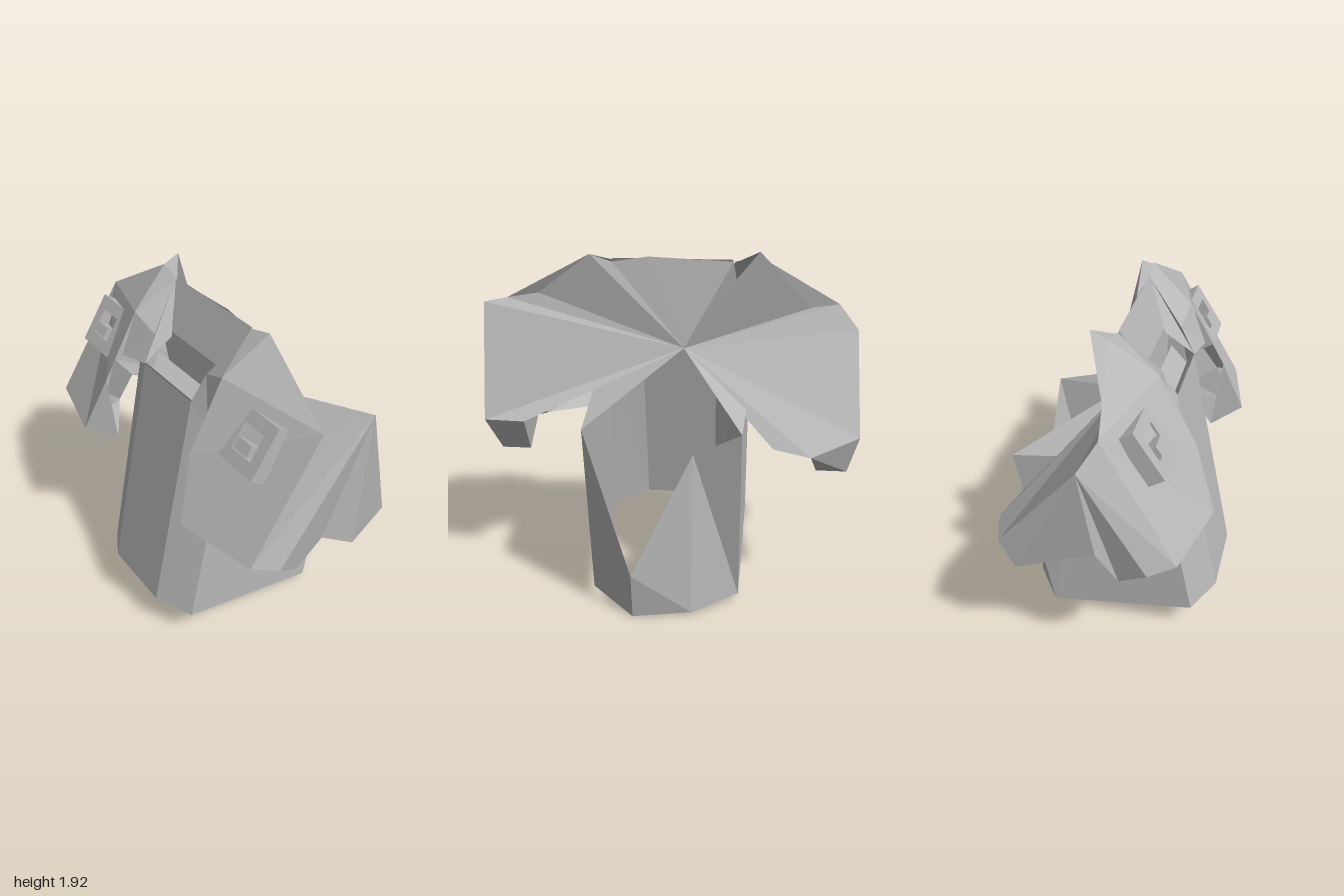
import * as THREE from 'three';

const grey = new THREE.MeshStandardMaterial({ color: 0xb8b8b8, flatShading: true, side: THREE.DoubleSide });
grey.name = 'plain grey';

// Flat-faced mesh from polygons, each triangle turned away from an inner point
function shell(name, polys, inner) {
  const pos = [], c = new THREE.Vector3(...inner);
  for (const poly of polys) {
    const p = poly.map(q => new THREE.Vector3(...q));
    for (let i = 1; i < p.length - 1; i++) {
      const t = [p[0], p[i], p[i + 1]];
      const n = t[1].clone().sub(t[0]).cross(t[2].clone().sub(t[0]));
      const out = t[0].clone().add(t[1]).add(t[2]).divideScalar(3).sub(c);
      if (n.dot(out) < 0) t.reverse();
      t.forEach(v => pos.push(v.x, v.y, v.z));
    }
  }
  const g = new THREE.BufferGeometry();
  g.setAttribute('position', new THREE.Float32BufferAttribute(pos, 3));
  g.computeVertexNormals();
  const mesh = new THREE.Mesh(g, grey);
  mesh.name = name;
  return mesh;
}

// Corner points of a shoulder guard; s is its side along z
function padPoints(s) {
  const k = s < 0 ? 0.16 : 0;
  const p = {
    a: [-0.59, 1, 0.5], b: [-0.49, 1, 0.94], c: [-0.36, 0.96, 1],
    d: [-0.11, 1.62, 0.95], e: [0.15, 1.65, 1], q: [-0.11, 1.65, 0.77],
    t: [-0.04, 1.88, 0.46], u: [-0.27, 1.69, 0.4], v: [-0.47, 1.33, 0.41], w: [-0.42, 0.9, 0.43],
    f: [-0.21, 0.85, 0.95], f2: [-0.21, 0.9, 0.78],
    g: [-0.11, 1.04, 1], g2: [-0.11, 1.04, 0.78],
    h: [0.16 + k, 0.82, 0.95], h2: [0.16 + k, 0.82, 0.79],
    i: [0.29 + k / 2, 1.03, 1], i2: [0.3 + k, 1.03, 0.78], m: [0.17, 1.18, 0.42],
  };
  if (s < 0) {
    p.e = [-0.03, 1.5, 1];
    p.d = [-0.11, 1.62, 0.9];
    p.q = [-0.1, 1.6, 0.75];
    p.i2 = [0.47, 0.95, 0.75];
    p.m = [0.15, 1.15, 0.42];
  }
  for (const key in p) p[key][2] *= s;
  return p;
}

function shoulder(s, name) {
  const p = padPoints(s);
  const group = new THREE.Group();
  group.name = name;
  group.add(shell('guardShell', [
    [p.d, p.q, p.t, p.u, p.v, p.a, p.b],
    [p.b, p.c, p.e, p.d],
    [p.e, p.c, p.f, p.g],
    [p.e, p.g, p.h, p.i],
    [p.a, p.w, p.v],
    [p.a, p.b, p.c, p.f, p.f2, p.w],
    [p.f, p.f2, p.g2, p.g],
    [p.g, p.g2, p.h2, p.h],
    [p.h, p.h2, p.i2, p.i],
  ], [-0.05, 1.25, s * 0.72]));
  group.add(shell('guardLiner', [[p.g2, p.h2, p.i2]], [0, 1.1, s * 0.9]));

  // Raised buckle lying on the sloping face
  const buckle = new THREE.Group();
  buckle.name = 'buckle';
  buckle.position.set(-0.27, 1.47, s * 0.67);
  buckle.rotation.z = 0.99;
  const box = (label, l, h, w, x, y, z) => {
    const m = new THREE.Mesh(new THREE.BoxGeometry(l, h, w), grey);
    m.name = label;
    m.position.set(x, y, z);
    buckle.add(m);
  };
  for (const side of [-1, 1]) {
    box('buckleSide', 0.28, 0.09, 0.06, 0, 0.01, side * 0.1);
    box('buckleEnd', 0.07, 0.09, 0.15, side * 0.105, 0.01, 0);
  }
  box('bucklePin', 0.06, 0.1, 0.1, -0.03, 0.02, 0);
  group.add(buckle);
  return group;
}

export function createModel() {
  const model = new THREE.Group();
  model.name = 'armour';
  const L = padPoints(1), R = padPoints(-1);

  // Rear wall: upper and lower edge points
  const rearTop = [[0.52, 1.08, 0.42], [0.59, 0.28, 0.17], [0.48, 0.95, -0.15], [0.52, 1.08, -0.4]];
  const rearLow = [[0.33, 0.05, 0.42], [0.54, 0, 0.17], [0.5, 0.02, -0.15], [0.33, 0.05, -0.4]];
  const walls = [];
  for (let i = 0; i < 3; i++) walls.push([rearTop[i], rearTop[i + 1], rearLow[i + 1], rearLow[i]]);

  // Chest panel, bevels and side walls
  walls.push([[-0.6, 0.23, -0.22], [-0.6, 0.23, 0.22], [-0.33, 1.48, 0.22], [-0.33, 1.48, -0.22]]);
  for (const s of [1, -1]) {
    const top = s > 0 ? rearTop[0] : rearTop[3], low = s > 0 ? rearLow[0] : rearLow[3];
    const m = s > 0 ? L.m : R.m;
    walls.push([[-0.6, 0.23, s * 0.22], [-0.49, 0.2, s * 0.42], [-0.22, 1.5, s * 0.42], [-0.33, 1.48, s * 0.22]]);
    walls.push([low, top, m, [-0.22, 1.5, s * 0.42], [-0.49, 0.2, s * 0.42]]);
  }
  model.add(shell('body', walls, [0, 0.7, 0]));

  // Collar: stepped profile swept across the neck
  const collar = [[-0.05, 1.86], [-0.16, 1.62], [-0.18, 1.45], [-0.29, 1.42], [-0.33, 1.49]];
  const steps = [];
  for (let i = 0; i < collar.length - 1; i++) {
    const [x0, y0] = collar[i], [x1, y1] = collar[i + 1];
    steps.push([[x0, y0, 0.34], [x1, y1, 0.22], [x1, y1, -0.22], [x0, y0, -0.32]]);
  }
  model.add(shell('collar', steps, [0.3, 1.1, 0]));
  // Collar posts join the neck to the shoulder guards
  for (const s of [1, -1]) {
    model.add(shell('collarPost', [
      [[-0.05, 1.85, s * 0.33], [-0.04, 1.88, s * 0.46], [-0.27, 1.69, s * 0.4], [-0.25, 1.62, s * 0.24]],
      [[-0.25, 1.62, s * 0.24], [-0.27, 1.69, s * 0.4], [-0.36, 1.45, s * 0.41], [-0.33, 1.48, s * 0.22]],
      [[-0.05, 1.85, s * 0.33], [-0.25, 1.62, s * 0.24], [-0.33, 1.48, s * 0.22], [-0.17, 1.6, s * 0.2]],
    ], [0, 1.3, s * 0.4]));
  }

  model.add(shoulder(1, 'frontShoulder'), shoulder(-1, 'rearShoulder'));

  // Rear cap: one fan over the whole rim
  const hub = [0, 1.38, -0.06];
  const rim = [
    rearTop[0], L.m, L.i2, L.i, L.e, L.d, L.q, L.t,
    [-0.05, 1.84, 0.34], [-0.05, 1.87, 0.14], [-0.05, 1.85, -0.32], [0.03, 1.77, -0.34],
    [0.05, 1.92, -0.46], R.q, R.d, R.e, R.i, R.i2, [0.42, 0.97, -0.56], R.m, rearTop[3],
  ];
  model.add(shell('rearCap', [[hub, ...rim]], [-1.5, 0.9, 0]));
  // Small spike behind the collar
  model.add(shell('collarSpike', [[[0.05, 1.92, -0.46], [-0.05, 1.84, -0.32], R.t, R.q]], [0.3, 1.2, -0.5]));
  return model;
}
